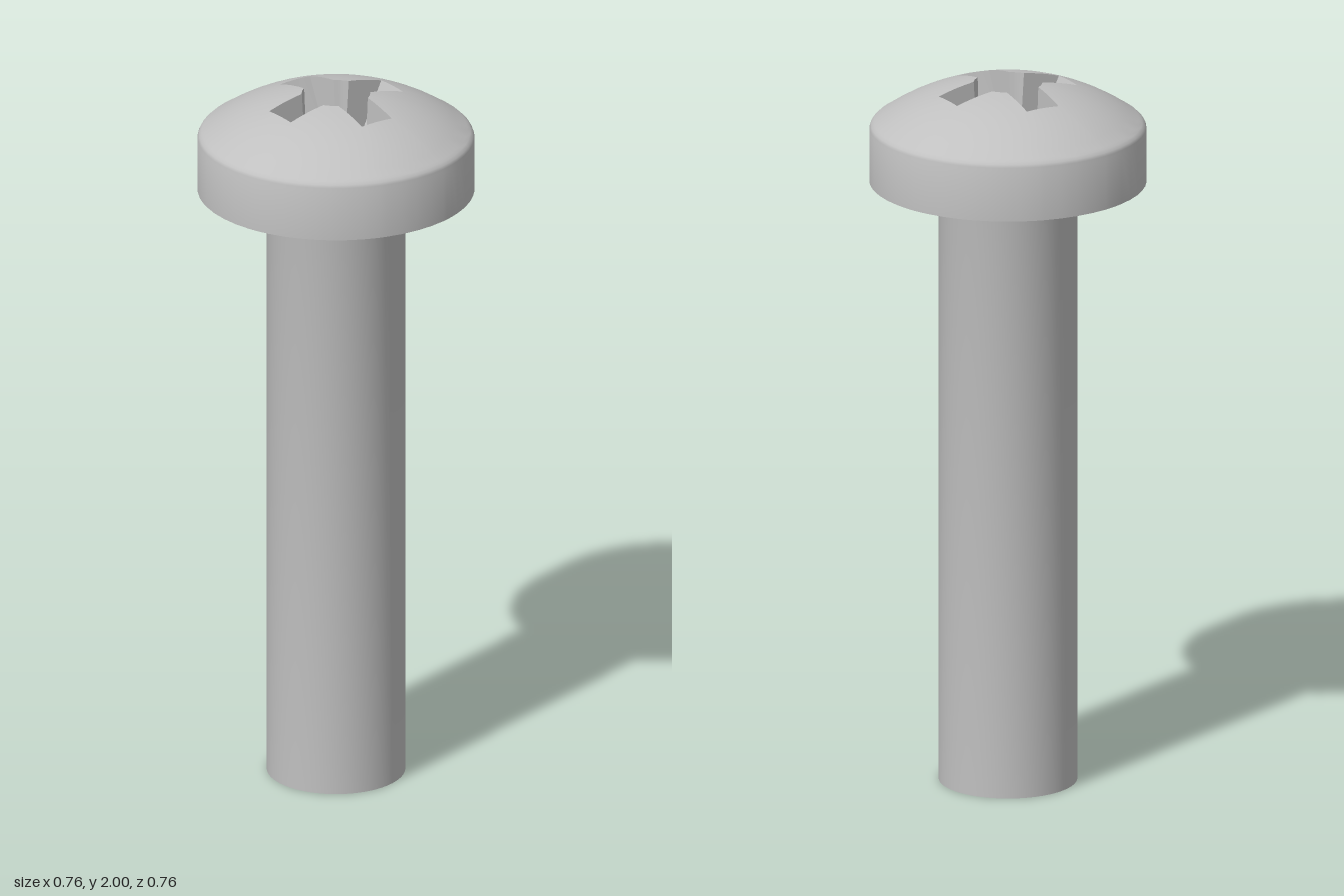
import * as THREE from 'three';
import { toCreasedNormals } from 'three/addons/utils/BufferGeometryUtils.js';

const HALF = 0.05;  // half width of a recess arm
const STEPS = 4;    // subdivisions of each stretch of the outline

// Cross outline with rounded inner corners, as [x, z] points in order of angle
function crossLoop(length, cornerRadius) {
  const a = Math.sqrt(cornerRadius ** 2 - HALF ** 2);
  const start = Math.atan2(HALF, a);
  const sweep = Math.PI / 2 - 2 * start;
  const quarter = [];
  const line = (x0, z0, x1, z1) => {
    for (let i = 0; i < STEPS; i++) {
      const t = i / STEPS;
      quarter.push([x0 + (x1 - x0) * t, z0 + (z1 - z0) * t]);
    }
  };
  line(length, -HALF, length, HALF);
  line(length, HALF, a, HALF);
  for (let i = 0; i < STEPS; i++) {
    const t = start + sweep * i / STEPS;
    quarter.push([cornerRadius * Math.cos(t), cornerRadius * Math.sin(t)]);
  }
  line(HALF, a, HALF, length);
  const loop = [];
  for (let q = 0; q < 4; q++) {
    const c = [1, 0, -1, 0][q], s = [0, 1, 0, -1][q];
    for (const [x, z] of quarter) loop.push([x * c - z * s, x * s + z * c]);
  }
  return loop;
}

// Skin a list of closed rows of [x, y, z] points
function skin(rows) {
  const n = rows[0].length;
  const index = [];
  for (let r = 0; r < rows.length - 1; r++) {
    for (let j = 0; j < n; j++) {
      const k = (j + 1) % n;
      const a = r * n + j, b = r * n + k, c = a + n, d = b + n;
      index.push(a, b, c, b, d, c);
    }
  }
  const geo = new THREE.BufferGeometry();
  geo.setAttribute('position', new THREE.Float32BufferAttribute(rows.flat(2), 3));
  geo.setIndex(index);
  geo.computeVertexNormals();
  return geo;
}

const domeY = (r) => 2.003 - 0.62 + Math.sqrt(0.62 ** 2 - r * r);
const floorY = (r) => 1.735 + 0.35 * r;

export function createModel() {
  const steel = new THREE.MeshStandardMaterial({ color: 0xc0c0c0 });
  steel.name = 'steel grey';
  const group = new THREE.Group();
  group.name = 'machineScrew';
  const add = (name, geo) => {
    const mesh = new THREE.Mesh(geo, steel);
    mesh.name = name;
    group.add(mesh);
  };

  const lift = (loop, height) => loop.map(([x, z]) => [x, height(Math.hypot(x, z)), z]);
  const topLoop = crossLoop(0.19, 0.094);
  const bottomLoop = crossLoop(0.095, 0.082);

  // Head: dome around the recess, rounded rim, side and underside
  const headRows = [];
  for (let i = 0; i <= 8; i++) {
    const t = i / 8;
    headRows.push(topLoop.map(([x, z]) => {
      const r0 = Math.hypot(x, z);
      const r = r0 + (0.36 - r0) * t;
      return [x / r0 * r, domeY(r), z / r0 * r];
    }));
  }
  const rim = [[0.368, 1.883], [0.375, 1.876], [0.379, 1.868], [0.38, 1.86], [0.38, 1.715], [0.19, 1.715]];
  for (const [r, y] of rim) {
    headRows.push(topLoop.map(([x, z]) => {
      const r0 = Math.hypot(x, z);
      return [x / r0 * r, y, z / r0 * r];
    }));
  }
  add('head', toCreasedNormals(skin(headRows), 0.6));

  // Recess walls: sloped arm ends, upright arm sides, tapered corners
  const walls = skin([lift(bottomLoop, floorY), lift(topLoop, domeY)]);
  add('recessWalls', toCreasedNormals(walls, 0.4));

  // Recess floor: shallow cone
  add('recessFloor', skin([bottomLoop.map(() => [0, floorY(0), 0]), lift(bottomLoop, floorY)]));

  // Shank with flat end and a small fillet under the head
  const profile = [[0, 0], [0.19, 0], [0.19, 1.695], [0.192, 1.704], [0.196, 1.711], [0.203, 1.715]]
    .map(([x, y]) => new THREE.Vector2(x, y));
  add('shank', toCreasedNormals(new THREE.LatheGeometry(profile, 80), 0.6));

  return group;
}
